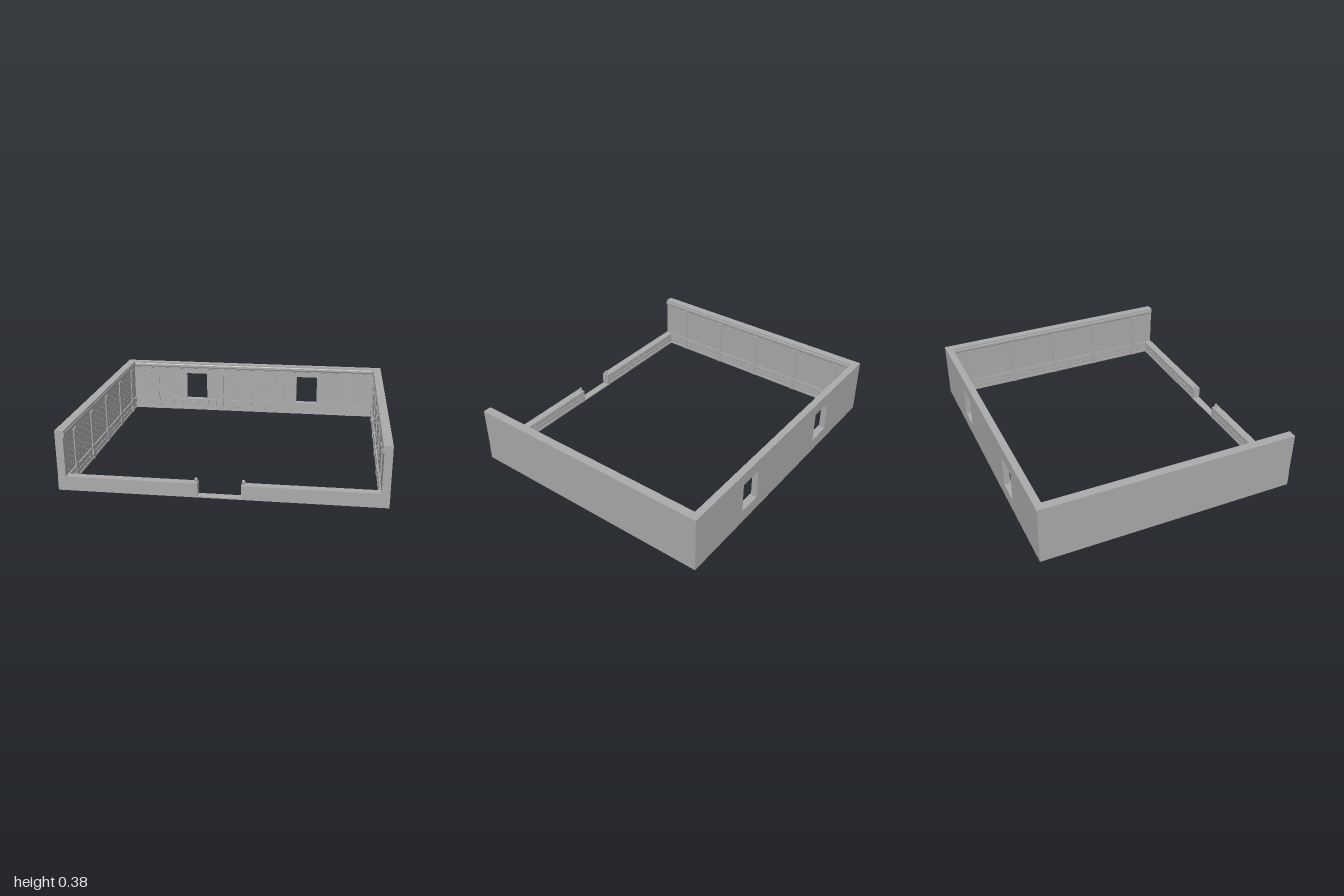
import * as THREE from 'three';
import { mergeGeometries } from 'three/addons/utils/BufferGeometryUtils.js';

const stone = new THREE.MeshStandardMaterial({ color: 0xaaaaaa });
stone.name = 'grey stone';

function add(parent, name, geometries) {
  const list = [].concat(geometries).map((g) => (g.index ? g.toNonIndexed() : g));
  const mesh = new THREE.Mesh(list.length > 1 ? mergeGeometries(list) : list[0], stone);
  mesh.name = name;
  parent.add(mesh);
  return mesh;
}

// Box given by its lower and upper limits on each axis
function block(x0, x1, y0, y1, z0, z1) {
  return new THREE.BoxGeometry(x1 - x0, y1 - y0, z1 - z0)
    .translate((x0 + x1) / 2, (y0 + y1) / 2, (z0 + z1) / 2);
}

function seeded(seed) {
  return () => (seed = (seed * 16807) % 2147483647) / 2147483647;
}

// Small round stud standing on the plane z = 0
function stud(x, y, r) {
  return new THREE.CylinderGeometry(r * 0.7, r, 0.003, 6).rotateX(Math.PI / 2).translate(x, y, 0.0015);
}

// Wainscot of two staggered brick courses between a base and a rail
function wainscot(parent, x0, x1) {
  add(parent, 'baseboard', block(x0, x1, 0, 0.014, 0, 0.007));
  add(parent, 'wainscotRail', block(x0, x1, 0.08, 0.09, 0, 0.009));
  const bricks = [];
  for (let row = 0; row < 2; row++) {
    const y = 0.018 + row * 0.031;
    for (let x = x0 - row * 0.035; x < x1; x += 0.07) {
      const a = Math.max(x + 0.003, x0), b = Math.min(x + 0.067, x1);
      if (b - a > 0.01) bricks.push(block(a, b, y, y + 0.026, 0, 0.005));
    }
  }
  add(parent, 'wainscotBricks', bricks);
}

// Moulding running along the top of a wall
function cornice(parent, x0, x1) {
  const profile = new THREE.Shape([
    [0, 0.338], [0.004, 0.34], [0.005, 0.348], [0.009, 0.353], [0.009, 0.368], [0.006, 0.374], [0.006, 0.385], [0, 0.385],
  ].map((p) => new THREE.Vector2(...p)));
  const g = new THREE.ExtrudeGeometry(profile, { depth: x1 - x0, bevelEnabled: false });
  // profile x becomes inward z, depth becomes -x
  g.rotateY(-Math.PI / 2).translate(x1, 0, 0);
  add(parent, 'cornice', g);
}

// Shallow column with a foot and a stepped capital
function pilaster(parent, x) {
  add(parent, 'pilaster', [
    block(x - 0.014, x + 0.014, 0.09, 0.325, 0, 0.007),
    block(x - 0.018, x + 0.018, 0.0, 0.1, 0, 0.011),
    block(x - 0.017, x + 0.017, 0.322, 0.331, 0, 0.01),
    block(x - 0.021, x + 0.021, 0.331, 0.341, 0, 0.014),
  ]);
}

// Studs scattered in staggered columns, left out where blocked(x, y) is true
function studs(parent, x0, x1, seed, blocked) {
  const random = seeded(seed), list = [];
  for (let x = x0 + 0.03, col = 0; x < x1 - 0.02; x += 0.042, col++) {
    for (let y = 0.115 + (col % 2) * 0.022; y < 0.325; y += 0.045) {
      const px = x + (random() - 0.5) * 0.016, py = y + (random() - 0.5) * 0.012;
      if (!blocked(px, py)) list.push(stud(px, py, 0.0045 + random() * 0.002));
    }
  }
  add(parent, 'wallStuds', list);
}

// Interior face of one wall: local z points into the room
function interior(name, x, z, angle) {
  const g = new THREE.Group();
  g.name = name;
  g.position.set(x, 0, z);
  g.rotation.y = angle;
  return g;
}

export function createModel() {
  const model = new THREE.Group();
  model.name = 'walledRoom';

  // Side walls
  for (const s of [-1, 1]) {
    const x0 = s > 0 ? 0.95 : -1;
    add(model, s > 0 ? 'leftWall' : 'rightWall', block(x0, x0 + 0.05, 0, 0.385, -0.85, 0.847));
    const inside = interior(s > 0 ? 'leftInterior' : 'rightInterior', s * 0.95, 0, -s * Math.PI / 2);
    const columns = s > 0 ? [-0.69, -0.345, 0, 0.335, 0.685] : [-0.655, -0.32, 0.015, 0.36, 0.69];
    const front = 0.847 * s, near = Math.min(front, -0.81 * s), far = Math.max(front, -0.81 * s);
    wainscot(inside, -0.81, 0.81);
    cornice(inside, near, far);
    columns.forEach((c) => pilaster(inside, c));
    studs(inside, -0.81, 0.81, 41 + s, (x) => columns.some((c) => Math.abs(x - c) < 0.028));
    model.add(inside);
  }

  // Back wall with two window openings
  const windows = [[-0.525, -0.36], [0.355, 0.515]];
  const wall = new THREE.Shape([
    new THREE.Vector2(-0.95, 0), new THREE.Vector2(0.95, 0),
    new THREE.Vector2(0.95, 0.385), new THREE.Vector2(-0.95, 0.385),
  ]);
  for (const [a, b] of windows) {
    wall.holes.push(new THREE.Path([
      new THREE.Vector2(a, 0.09), new THREE.Vector2(a, 0.3),
      new THREE.Vector2(b, 0.3), new THREE.Vector2(b, 0.09),
    ]));
  }
  add(model, 'backWall', new THREE.ExtrudeGeometry(wall, { depth: 0.04, bevelEnabled: false }).translate(0, 0, -0.85));

  const back = interior('backInterior', 0, -0.81, 0);
  const columns = [-0.765, -0.243, 0.238, 0.76];
  wainscot(back, -0.945, 0.945);
  cornice(back, -0.95, 0.95);
  columns.forEach((c) => pilaster(back, c));
  studs(back, -0.94, 0.94, 77, (x, y) => columns.some((c) => Math.abs(x - c) < 0.028)
    || windows.some(([a, b]) => x > a - 0.012 && x < b + 0.012 && y < 0.312)
    || Math.hypot(x, y - 0.212) < 0.118);

  // Round medallion between the middle pilasters
  const medallion = new THREE.Group();
  medallion.name = 'medallion';
  medallion.position.set(0, 0.212, 0);
  add(medallion, 'medallionDisc', new THREE.CylinderGeometry(0.085, 0.085, 0.003, 32).rotateX(Math.PI / 2).translate(0, 0, 0.0015));
  const teeth = [];
  for (let i = 0; i < 24; i++) {
    teeth.push(block(-0.009, 0.009, 0.09, 0.106, 0, 0.005).rotateZ(i * Math.PI / 12));
  }
  add(medallion, 'medallionRim', teeth);
  back.add(medallion);
  model.add(back);

  // Low front wall with a doorway
  add(model, 'frontWall', [
    block(-1, -0.135, 0, 0.09, 0.808, 0.85),
    block(0.13, 1, 0, 0.09, 0.808, 0.85),
  ]);
  add(model, 'doorSill', block(-0.135, 0.13, 0, 0.008, 0.8, 0.85));
  const front = interior('frontInterior', 0, 0.808, Math.PI);
  wainscot(front, -0.945, -0.13);
  wainscot(front, 0.135, 0.945);
  model.add(front);

  // Door posts with round knobs
  for (const x of [-0.147, 0.141]) {
    add(model, 'doorPost', [
      block(x - 0.012, x + 0.012, 0, 0.092, 0.798, 0.846),
      new THREE.CylinderGeometry(0.007, 0.01, 0.012, 12).translate(x, 0.096, 0.822),
      new THREE.SphereGeometry(0.011, 12, 8).translate(x, 0.107, 0.822),
    ]);
  }
  return model;
}
